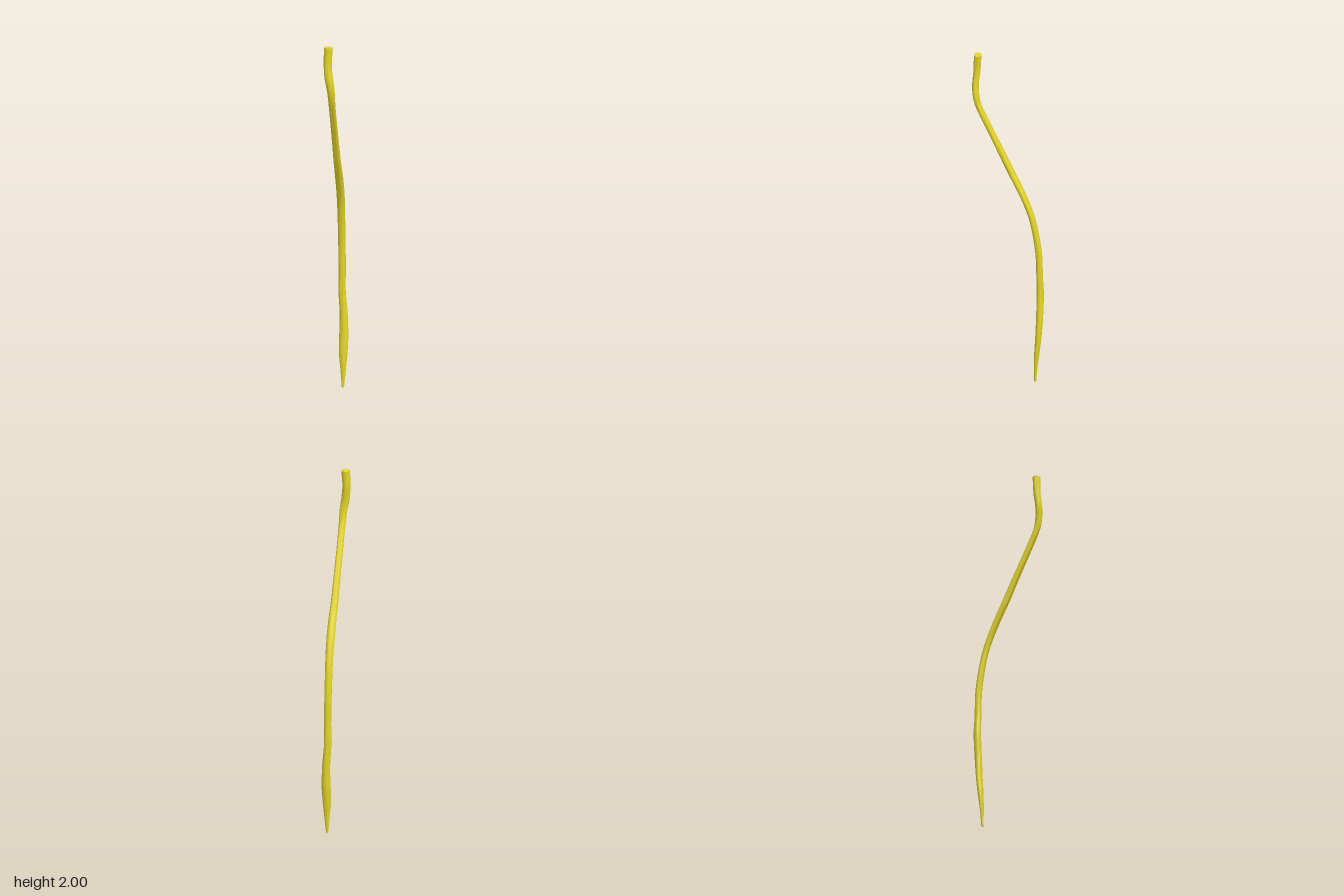
import * as THREE from 'three';
import { toCreasedNormals } from 'three/addons/utils/BufferGeometryUtils.js';

// Stations from the tip upwards: height, centre x, centre z, half width in x, half width in z
const STATIONS = [
  [0.00, 0.011, -0.150, 0.006, 0.006],
  [0.10, 0.012, -0.154, 0.015, 0.010],
  [0.20, 0.011, -0.161, 0.024, 0.015],
  [0.28, 0.013, -0.168, 0.025, 0.017],
  [0.40, 0.012, -0.174, 0.022, 0.019],
  [0.55, 0.002, -0.176, 0.020, 0.020],
  [0.65, 0.004, -0.173, 0.020, 0.018],
  [0.80, 0.003, -0.168, 0.020, 0.018],
  [1.00, 0.004, -0.136, 0.021, 0.017],
  [1.10, 0.005, -0.105, 0.022, 0.018],
  [1.20, 0.004, -0.063, 0.022, 0.019],
  [1.31, 0.001, -0.010, 0.020, 0.021],
  [1.40, 0.000, 0.030, 0.019, 0.020],
  [1.60, -0.002, 0.122, 0.018, 0.019],
  [1.70, -0.003, 0.165, 0.019, 0.018],
  [1.76, -0.006, 0.177, 0.021, 0.018],
  [1.82, -0.015, 0.181, 0.023, 0.018],
  [1.90, -0.023, 0.174, 0.022, 0.019],
  [2.00, -0.020, 0.170, 0.024, 0.021],
];

// Smooth curves through the centres and the half widths
const centres = new THREE.CatmullRomCurve3(STATIONS.map(([y, x, z]) => new THREE.Vector3(x, y, z)));
const widths = new THREE.CatmullRomCurve3(STATIONS.map(([y, , , rx, rz]) => new THREE.Vector3(rx, y, rz)));

export function createModel() {
  const model = new THREE.Group();
  model.name = 'bentStake';

  // Unit cylinder, each ring moved and scaled onto the curves
  const geometry = new THREE.CylinderGeometry(1, 1, 1, 16, (STATIONS.length - 1) * 3);
  const position = geometry.attributes.position;
  for (let i = 0; i < position.count; i++) {
    const t = THREE.MathUtils.clamp(position.getY(i) + 0.5, 0, 1);
    const c = centres.getPoint(t);
    const w = widths.getPoint(t);
    position.setXYZ(i, c.x + position.getX(i) * w.x, c.y, c.z + position.getZ(i) * w.z);
  }

  const stem = new THREE.Mesh(
    toCreasedNormals(geometry, 0.9),
    new THREE.MeshStandardMaterial({ color: 0xe6d72a })
  );
  stem.name = 'taperedStem';
  model.add(stem);
  return model;
}
